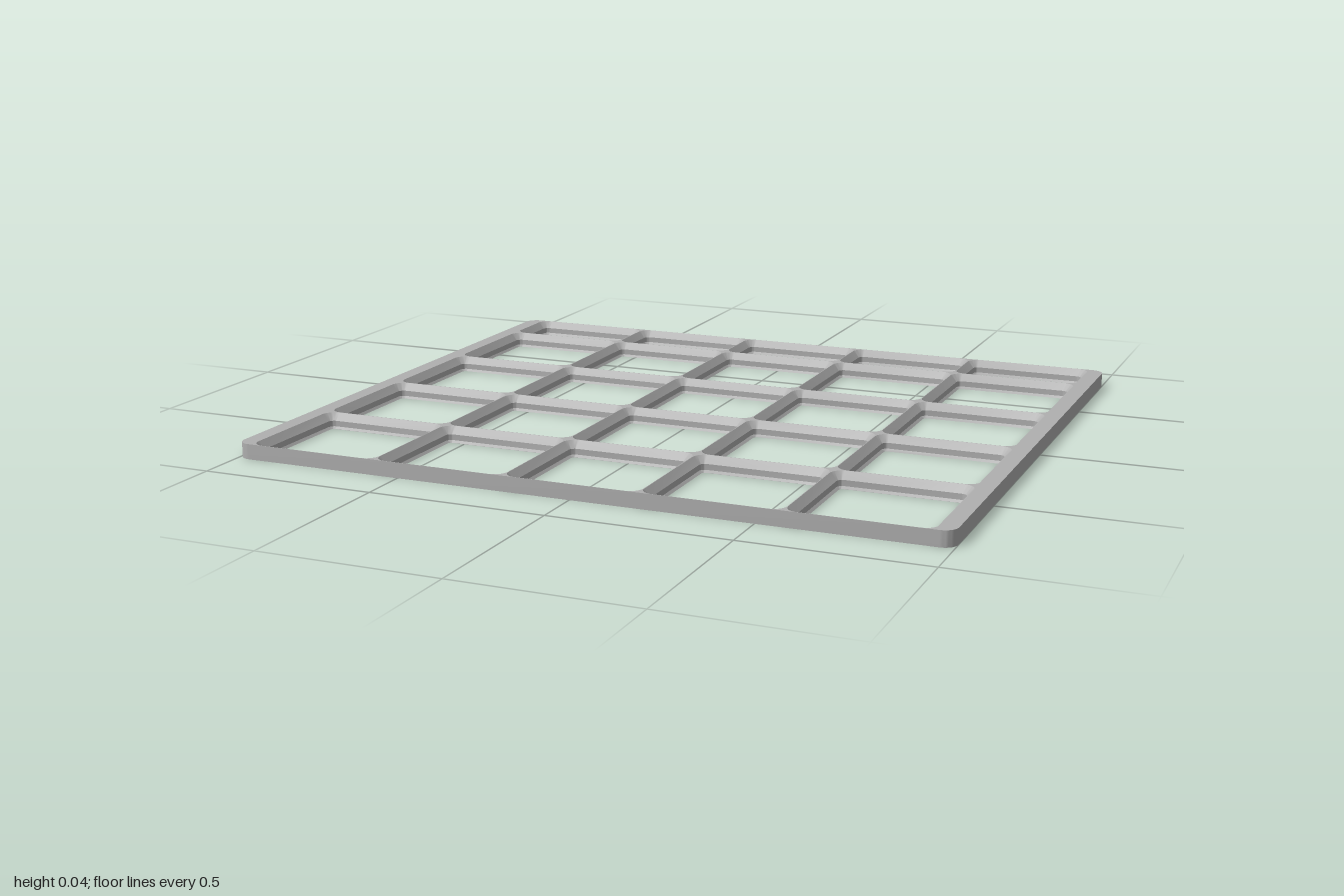
import * as THREE from 'three';
import { toCreasedNormals } from 'three/addons/utils/BufferGeometryUtils.js';

const HEIGHT = 0.0427, HALF_W = 1, HALF_D = 0.8636, PITCH = 0.3818, CORNER = 0.0364;
// Socket wall steps, top to bottom: height and inset from the cell edge
const STEPS = [[HEIGHT, 0.001], [0.0227, 0.0195], [0.0064, 0.0195], [0, 0.0259]];

// Rounded rectangle as a loop of [x, z] points
function loop(x0, x1, z0, z1, r, seg = 8) {
  const corners = [[x1 - r, z1 - r], [x0 + r, z1 - r], [x0 + r, z0 + r], [x1 - r, z0 + r]];
  const pts = [];
  corners.forEach(([cx, cz], k) => {
    for (let i = 0; i <= seg; i++) {
      const a = (k + i / seg) * Math.PI / 2;
      pts.push([cx + r * Math.cos(a), cz + r * Math.sin(a)]);
    }
  });
  return pts;
}

// Wall through stacked loops: rising rings face outward, falling rings inward
function loft(rings) {
  const pos = [];
  for (let k = 0; k + 1 < rings.length; k++) {
    const [A, B] = [rings[k], rings[k + 1]];
    const n = A.pts.length;
    for (let j = 0; j < n; j++) {
      const m = (j + 1) % n;
      const at = (R, i) => [R.pts[i][0], R.y, R.pts[i][1]];
      pos.push(...at(A, j), ...at(B, j), ...at(A, m), ...at(A, m), ...at(B, j), ...at(B, m));
    }
  }
  const g = new THREE.BufferGeometry();
  g.setAttribute('position', new THREE.Float32BufferAttribute(pos, 3));
  g.computeVertexNormals();
  return toCreasedNormals(g, 0.5);
}

// Flat perforated face, looking up or down
function sheet(outer, holes, y, up) {
  const s = up ? -1 : 1;
  const vec = (pts) => pts.map(([x, z]) => new THREE.Vector2(x, s * z));
  const shape = new THREE.Shape(vec(outer));
  shape.holes = holes.map((h) => new THREE.Path(vec(h)));
  return new THREE.ShapeGeometry(shape).rotateX(s * Math.PI / 2).translate(0, y, 0);
}

export function createModel() {
  const model = new THREE.Group();
  model.name = 'gridBaseplate';
  const grey = new THREE.MeshStandardMaterial({ color: 0xb0b0b0 });
  grey.name = 'grey plastic';
  const add = (name, geometry) => {
    const mesh = new THREE.Mesh(geometry, grey);
    mesh.name = name;
    model.add(mesh);
  };

  // Five columns; four full rows from the front and a short row at the back
  const cells = [];
  for (let row = 0; row < 5; row++) {
    const z1 = HALF_D - row * PITCH;
    const z0 = Math.max(z1 - PITCH, -HALF_D);
    for (let col = 0; col < 5; col++) {
      const x0 = (col - 2.5) * PITCH;
      cells.push(STEPS.map(([y, d]) => ({
        y, pts: loop(x0 + d, x0 + PITCH - d, z0 + d, z1 - d, CORNER - d),
      })));
    }
  }

  // Outer rim, top ridges, underside
  const outer = loop(-HALF_W, HALF_W, -HALF_D, HALF_D, CORNER);
  add('outerRim', loft([{ y: 0, pts: outer }, { y: HEIGHT, pts: outer }]));
  add('topFace', sheet(outer, cells.map((c) => c[0].pts), HEIGHT, true));
  add('underside', sheet(outer, cells.map((c) => c[3].pts), 0, false));

  // Stepped, chamfered socket walls
  cells.forEach((rings, i) => add(`socket${i + 1}`, loft(rings)));
  return model;
}
